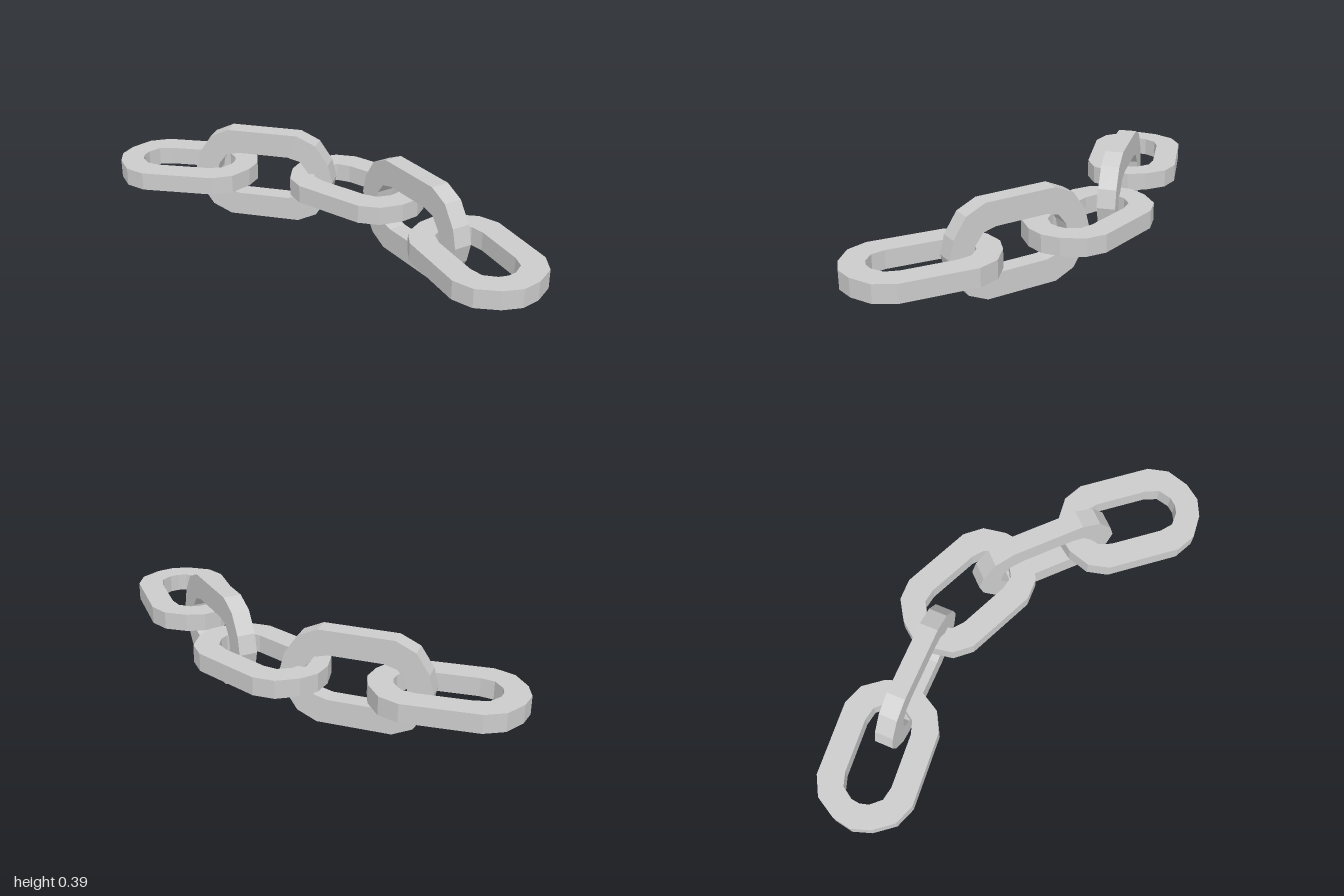
import * as THREE from 'three';

// One quarter of the faceted outline, from the tip to the straight side
const OUTER = [[0.303, 0], [0.284, 0.076], [0.23, 0.157], [0.15, 0.194]];
const INNER = [[0.203, 0], [0.196, 0.036], [0.162, 0.08], [0.108, 0.094]];
const THICKNESS = 0.075;

// Mirror a quarter outline into a closed loop
function loop(quarter) {
  const half = [
    ...quarter,
    ...quarter.slice().reverse().map(([x, y]) => [-x, y]),
  ];
  const lower = half.slice(1, -1).reverse().map(([x, y]) => [x, -y]);
  return [...half, ...lower].map(([x, y]) => new THREE.Vector2(x, y));
}

function linkGeometry() {
  const shape = new THREE.Shape(loop(OUTER));
  shape.holes.push(new THREE.Path(loop(INNER)));
  const geometry = new THREE.ExtrudeGeometry(shape, { depth: THICKNESS, bevelEnabled: false });
  return geometry.translate(0, 0, -THICKNESS / 2);
}

// Links in order along the chain: position, heading in degrees, lying flat or upright
const LINKS = [
  { name: 'leftEndLink', x: 0.707, z: 0.062, turn: -27, flat: true },
  { name: 'leftUprightLink', x: 0.343, z: -0.077, turn: -19.6, flat: false },
  { name: 'middleLink', x: 0, z: -0.16, turn: 0, flat: true },
  { name: 'rightUprightLink', x: -0.395, z: -0.038, turn: 23.8, flat: false },
  { name: 'rightEndLink', x: -0.712, z: 0.102, turn: 28.5, flat: true },
];

export function createModel() {
  const chain = new THREE.Group();
  chain.name = 'chain';
  const geometry = linkGeometry();
  const material = new THREE.MeshStandardMaterial({ color: 0xcccccc, flatShading: true });

  for (const { name, x, z, turn, flat } of LINKS) {
    const link = new THREE.Mesh(geometry, material);
    link.name = name;
    link.rotation.order = 'YXZ';
    link.rotation.set(flat ? -Math.PI / 2 : 0, THREE.MathUtils.degToRad(turn), 0);
    link.position.set(x, flat ? 0.188 : 0.195, z);
    chain.add(link);
  }
  return chain;
}
